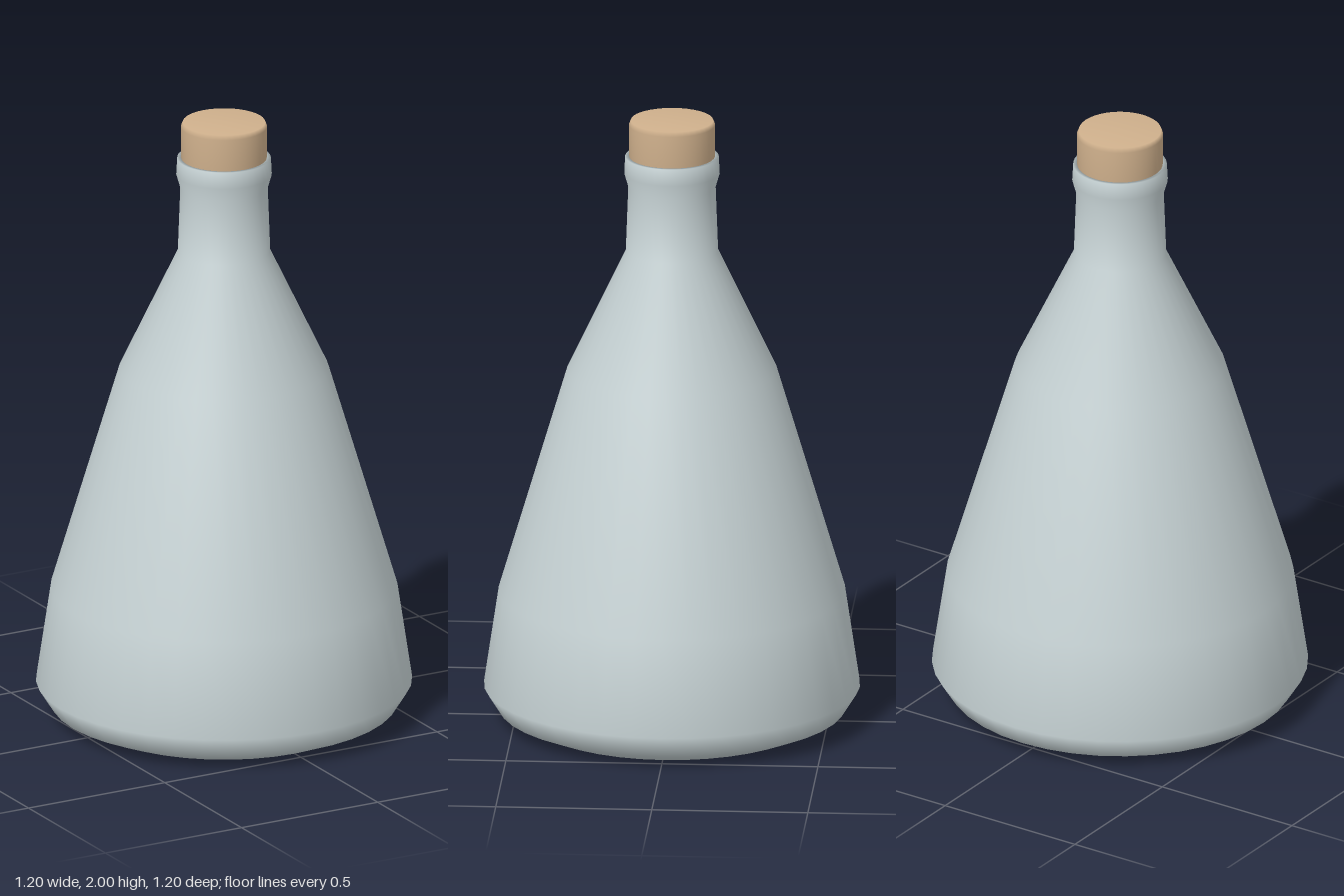
import * as THREE from 'three';

const SEGMENTS = 40;

// Spins a [radius, height] profile around the y axis with smooth normals
function turned(name, profile, material) {
  const points = profile.map(([r, y]) => new THREE.Vector2(r, y));
  const mesh = new THREE.Mesh(new THREE.LatheGeometry(points, SEGMENTS), material);
  mesh.name = name;
  return mesh;
}

export function createModel() {
  const glass = new THREE.MeshStandardMaterial({ color: 0xc6d2d4 });
  glass.name = 'pale glass';
  const cork = new THREE.MeshStandardMaterial({ color: 0xcfb08c });
  cork.name = 'cork';

  const group = new THREE.Group();
  group.name = 'corkedFlask';

  // Conical body, neck, flared lip and the inside of the mouth
  group.add(turned('flask', [
    [0, 0], [0.46, 0], [0.555, 0.04], [0.602, 0.115], [0.555, 0.43],
    [0.335, 1.17], [0.148, 1.565], [0.14, 1.78], [0.153, 1.825],
    [0.15, 1.88], [0.137, 1.88], [0.13, 1.8],
  ], glass));

  // Stopper pushed into the mouth
  group.add(turned('stopper', [
    [0, 1.78], [0.125, 1.78], [0.137, 1.87], [0.138, 1.985], [0.132, 2], [0, 2],
  ], cork));

  return group;
}
